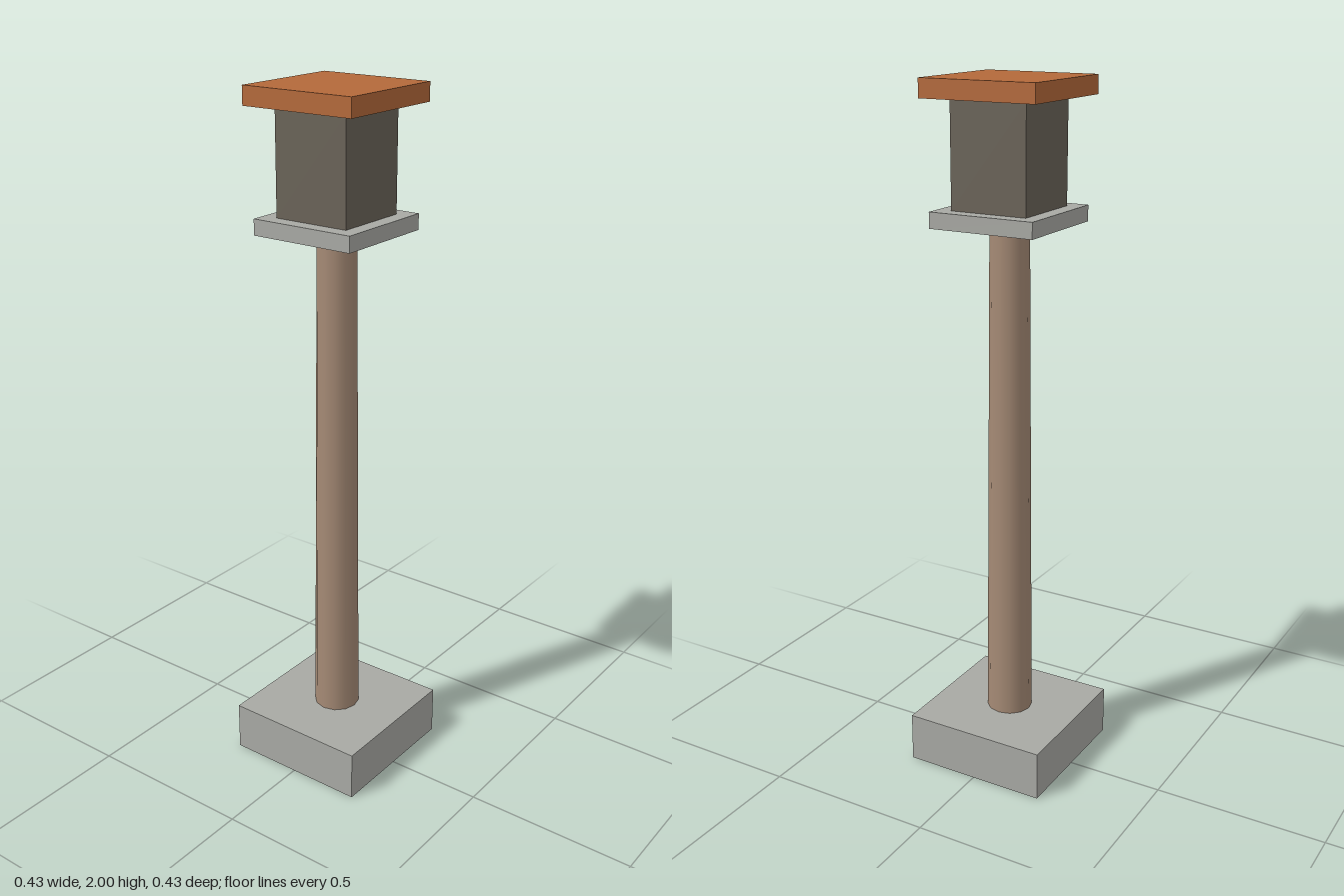
import * as THREE from 'three';

const material = (name, color) => {
  const m = new THREE.MeshStandardMaterial({ color });
  m.name = name;
  return m;
};

export function createModel() {
  const group = new THREE.Group();
  group.name = 'stoneLantern';

  const stone = material('grey stone', 0xa8a9a4);
  const wood = material('pole brown', 0xa58a75);
  const dark = material('dark housing', 0x6a6358);
  const rust = material('rust roof', 0xb4693a);

  // Every part stands on the one below it, from y0 to y1
  const add = (name, geometry, mat, y0, y1) => {
    const mesh = new THREE.Mesh(geometry, mat);
    mesh.name = name;
    mesh.position.y = (y0 + y1) / 2;
    group.add(mesh);
  };
  const slab = (name, width, y0, y1, mat) =>
    add(name, new THREE.BoxGeometry(width, y1 - y0, width), mat, y0, y1);

  slab('base', 0.43, 0, 0.145, stone);

  // Tapered round pole
  add('pole', new THREE.CylinderGeometry(0.055, 0.067, 1.465, 12), wood, 0.145, 1.61);

  // Lamp head: shelf, housing and flat roof
  slab('shelf', 0.314, 1.61, 1.655, stone);
  slab('housing', 0.228, 1.655, 1.948, dark);
  slab('roof', 0.345, 1.948, 2, rust);

  return group;
}
